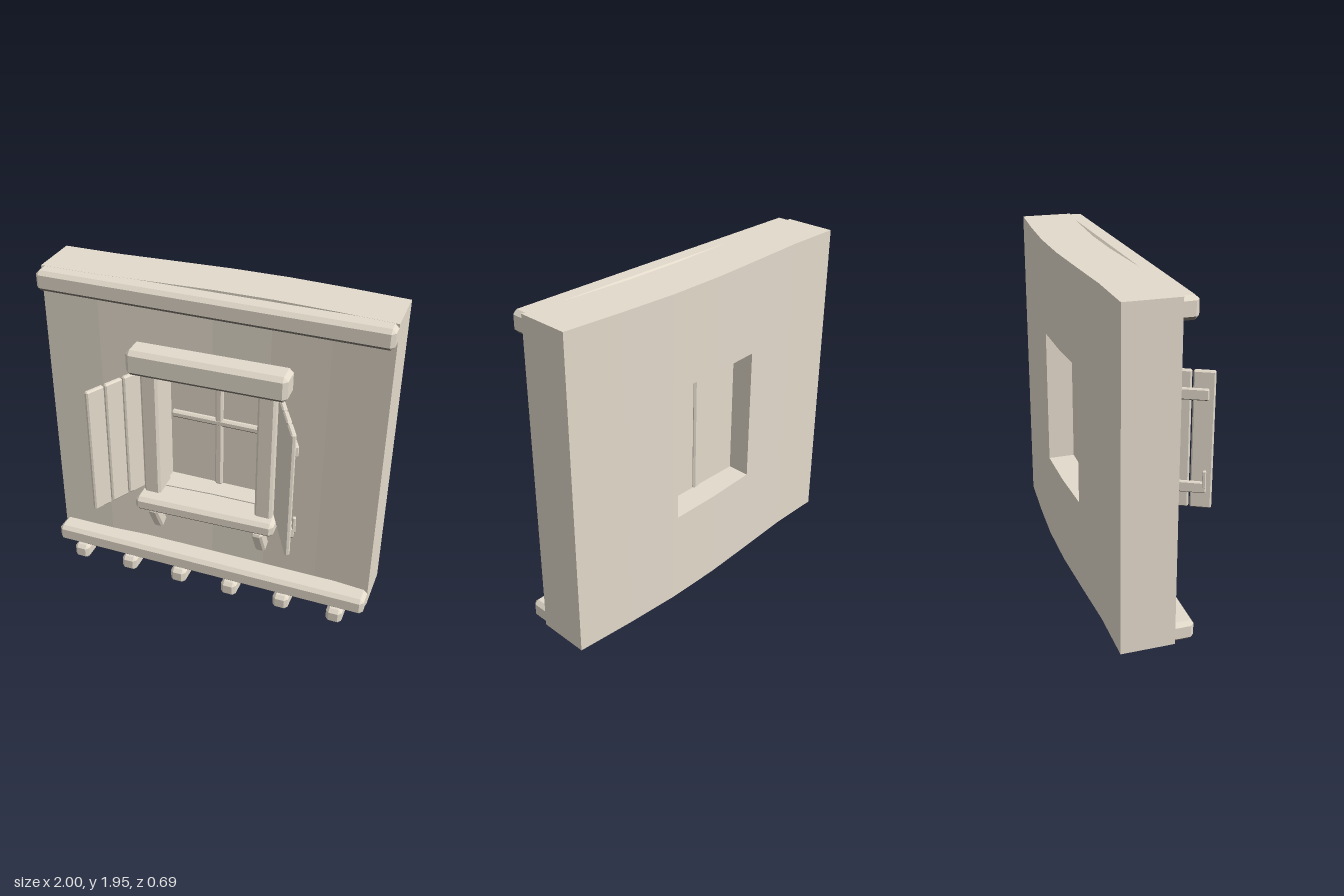
import * as THREE from 'three';
import { ConvexGeometry } from 'three/addons/geometries/ConvexGeometry.js';

const stone = new THREE.MeshStandardMaterial({ color: 0xe3dacb });
stone.name = 'warm stone';
const underside = new THREE.MeshStandardMaterial({ color: 0x7f796f });
underside.name = 'dark underside';

// Give downward faces the underside material by grouping triangles
function paintUndersides(source) {
  const geo = source.index ? source.toNonIndexed() : source;
  geo.clearGroups();
  const normal = geo.attributes.normal;
  for (let i = 0; i < normal.count; i += 3) {
    geo.addGroup(i, 3, normal.getY(i) < -0.6 ? 1 : 0);
  }
  return geo;
}

// Box with chamfered edges, centred on the origin
function chamferBox(w, h, d, c) {
  const pts = [];
  for (const x of [-1, 1]) for (const y of [-1, 1]) for (const z of [-1, 1]) {
    const X = x * w / 2, Y = y * h / 2, Z = z * d / 2;
    pts.push(new THREE.Vector3(X, Y - y * c, Z - z * c),
      new THREE.Vector3(X - x * c, Y, Z - z * c),
      new THREE.Vector3(X - x * c, Y - y * c, Z));
  }
  return new ConvexGeometry(pts);
}

function add(parent, name, geometry, x = 0, y = 0, z = 0) {
  const mesh = new THREE.Mesh(paintUndersides(geometry), [stone, underside]);
  mesh.name = name;
  mesh.position.set(x, y, z);
  parent.add(mesh);
  return mesh;
}

// Chamfered beam given by its limits
function beam(parent, name, [x0, x1], [y0, y1], [z0, z1], c) {
  return add(parent, name, chamferBox(x1 - x0, y1 - y0, z1 - z0, c),
    (x0 + x1) / 2, (y0 + y1) / 2, (z0 + z1) / 2);
}

// How far the wall bows backwards at x
const BOW = [0, 0.002, 0.022, 0.04, 0.042, 0.025, 0];
function bow(x) {
  const t = (x + 1) * 3, i = Math.min(5, Math.floor(t));
  return BOW[i] + (BOW[i + 1] - BOW[i]) * (t - i);
}

// Piece of bowed wall: plan outline raised from y0 to y1
function wallPiece(x0, x1, y0, y1) {
  const xs = [x0];
  for (let i = 1; i < 6; i++) {
    const x = -1 + i / 3;
    if (x > x0 + 0.001 && x < x1 - 0.001) xs.push(x);
  }
  xs.push(x1);
  const front = xs.map(x => new THREE.Vector2(x, 0.012 + bow(x)));
  const back = xs.map(x => new THREE.Vector2(x, 0.31 + bow(x))).reverse();
  const geo = new THREE.ExtrudeGeometry(new THREE.Shape([...front, ...back]),
    { depth: y1 - y0, bevelEnabled: false });
  return geo.rotateX(-Math.PI / 2).translate(0, y0, 0);
}

// Three planks on two battens, hinged at the local origin and running outwards
function shutter(side, angle) {
  const g = new THREE.Group();
  g.name = side > 0 ? 'leftShutter' : 'rightShutter';
  for (let i = 0; i < 3; i++) {
    add(g, 'shutterPlank', chamferBox(0.118, 0.797, 0.03, 0.008),
      side * (0.06 + i * 0.126), 1.018, 0);
  }
  for (const y of [0.752, 1.29]) {
    add(g, 'shutterBatten', chamferBox(0.345, 0.064, 0.024, 0.006), side * 0.168, y, -0.026);
  }
  add(g, 'shutterLatch', chamferBox(0.02, 0.1, 0.02, 0.004), side * 0.33, 0.805, -0.036);
  g.position.set(side * 0.42, 0, 0.01);
  g.rotation.y = -side * angle;
  return g;
}

export function createModel() {
  const model = new THREE.Group();
  model.name = 'windowWall';

  // Bowed wall around the window opening
  const wall = new THREE.Group();
  wall.name = 'wall';
  model.add(wall);
  add(wall, 'wallRight', wallPiece(-1, -0.31, 0.08, 1.95));
  add(wall, 'wallLeft', wallPiece(0.298, 1, 0.08, 1.95));
  add(wall, 'wallAbove', wallPiece(-0.31, 0.298, 1.41, 1.95));
  add(wall, 'wallBelow', wallPiece(-0.31, 0.298, 0.08, 0.617));

  // Long beams and the joist ends below
  beam(model, 'topBeam', [-1, 1], [1.83, 1.9495], [-0.05, 0.072], 0.022);
  beam(model, 'bottomBeam', [-1, 1], [0.084, 0.195], [-0.05, 0.097], 0.022);
  for (let i = 0; i < 6; i++) {
    const x = -0.835 + i * 0.334;
    beam(model, 'joistEnd', [x - 0.048, x + 0.048], [0, 0.098], [-0.005, 0.127], 0.02);
  }

  // Window pane and glazing bars
  add(model, 'windowPane', new THREE.BoxGeometry(0.615, 0.8, 0.02), -0.006, 1.012, -0.19);
  add(model, 'verticalBar', chamferBox(0.046, 0.8, 0.06, 0.01), -0.002, 1.015, -0.185);
  add(model, 'horizontalBar', chamferBox(0.6, 0.046, 0.045, 0.012), -0.004, 1.057, -0.176);

  // Window frame
  for (const s of [-1, 1]) {
    add(model, 'jamb', chamferBox(0.105, 0.86, 0.17, 0.014), s * 0.35, 1.015, -0.035);
  }
  const lintel = beam(model, 'lintel', [-0.468, 0.468], [1.42, 1.575], [-0.06, 0.095], 0.025);
  lintel.rotation.y = 0.02;
  const sill = beam(model, 'sill', [-0.43, 0.43], [0.518, 0.61], [-0.08, 0.129], 0.022);
  sill.rotation.y = 0.03;

  // Slanted brackets under the sill
  for (const s of [-1, 1]) {
    const bracket = add(model, 'bracket', chamferBox(0.064, 0.21, 0.078, 0.012), s * 0.333, 0.435, 0.03);
    bracket.rotation.x = 0.48;
  }

  // Open shutters
  model.add(shutter(1, 1.09), shutter(-1, 1.09));
  return model;
}
